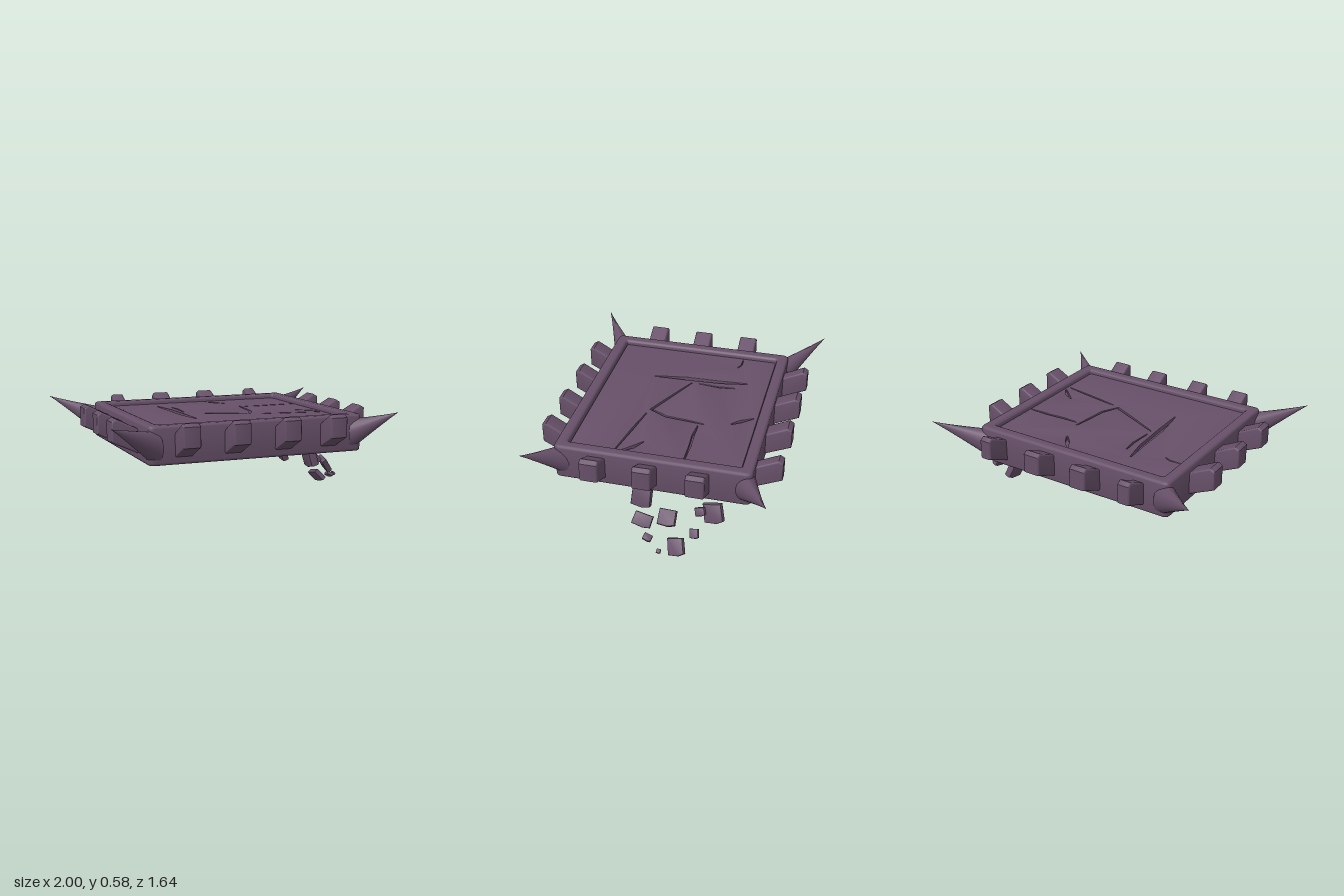
import * as THREE from 'three';
import { toCreasedNormals } from 'three/addons/utils/BufferGeometryUtils.js';

const stone = new THREE.MeshStandardMaterial({ color: 0x675069 });
stone.name = 'purple stone';

function add(parent, name, geometry) {
  const mesh = new THREE.Mesh(geometry, stone);
  mesh.name = name;
  parent.add(mesh);
  return mesh;
}

const points = (list) => list.map(([x, y]) => new THREE.Vector2(x, y));

// Rectangle outline with softened corners, drawn in (x, -z)
function rectangle(x0, x1, z0, z1, r, Type = THREE.Shape) {
  const s = new Type();
  s.moveTo(x0 + r, -z1);
  s.lineTo(x1 - r, -z1);
  s.quadraticCurveTo(x1, -z1, x1, -z1 + r);
  s.lineTo(x1, -z0 - r);
  s.quadraticCurveTo(x1, -z0, x1 - r, -z0);
  s.lineTo(x0 + r, -z0);
  s.quadraticCurveTo(x0, -z0, x0, -z0 - r);
  s.lineTo(x0, -z1 + r);
  s.quadraticCurveTo(x0, -z1, x0 + r, -z1);
  return s;
}

// Extrusion with rounded edges whose total depth includes the bevel
function bevelled(shape, depth, bevel, segments = 3) {
  const g = new THREE.ExtrudeGeometry(shape, {
    depth: depth - 2 * bevel, bevelThickness: bevel, bevelSize: bevel,
    bevelOffset: -bevel, bevelSegments: segments, curveSegments: 5,
  });
  g.translate(0, 0, bevel);
  return toCreasedNormals(g, 0.7);
}

// Horizontal slab from y0 to y1
function slab(shape, y0, y1, bevel) {
  return bevelled(shape, y1 - y0, bevel).rotateX(-Math.PI / 2).translate(0, y0, 0);
}

// Sliver-shaped hole along a line of [x, z] points, given a width at each point
function crack(line, widths) {
  const left = [], right = [];
  line.forEach(([x, z], i) => {
    const a = line[Math.max(i - 1, 0)], b = line[Math.min(i + 1, line.length - 1)];
    const dx = b[0] - a[0], dz = b[1] - a[1], len = Math.hypot(dx, dz);
    const w = widths[i] / 2;
    left.push([x - dz / len * w, -(z + dx / len * w)]);
    right.unshift([x + dz / len * w, -(z - dx / len * w)]);
  });
  return new THREE.Path(points([...left, ...right]));
}

// Pointed horn growing out of a corner
function horn(base, tip) {
  const g = new THREE.CylinderGeometry(0, 1, 1, 18, 10, true);
  const dir = new THREE.Vector3().subVectors(tip, base).setY(0).normalize();
  const side = new THREE.Vector3(-dir.z, 0, dir.x);
  const p = g.attributes.position;
  for (let i = 0; i < p.count; i++) {
    const t = p.getY(i) + 0.5, r = Math.max(1 - t, 0.001);
    const v = base.clone().lerp(tip, t)
      .addScaledVector(side, p.getX(i) / r * 0.075 * (1 - t) ** 1.2);
    v.y += p.getZ(i) / r * 0.1 * (1 - t) ** 1.1;
    p.setXYZ(i, v.x, v.y, v.z);
  }
  g.computeVertexNormals();
  return g;
}

export function createModel() {
  const model = new THREE.Group();
  model.name = 'floatingPlatform';

  // Raised border and solid bed
  const frame = rectangle(-0.725, 0.705, -0.595, 0.66, 0.04);
  frame.holes.push(rectangle(-0.65, 0.63, -0.52, 0.585, 0.015, THREE.Path));
  add(model, 'border', slab(frame, 0.32, 0.56, 0.018));
  add(model, 'bed', new THREE.BoxGeometry(1.34, 0.185, 1.16).translate(-0.01, 0.4125, 0.0325));

  // Cracked floor
  const floor = rectangle(-0.645, 0.625, -0.515, 0.58, 0.01);
  floor.holes.push(
    crack([[-0.325, -0.37], [-0.305, -0.2], [-0.295, 0.05], [-0.275, 0.27]], [0.008, 0.03, 0.035, 0.006]),
    crack([[-0.25, 0], [-0.1, 0.075], [0.13, 0.185], [0.185, 0.07], [0.2, -0.08], [0.215, -0.19]],
      [0.006, 0.012, 0.018, 0.016, 0.012, 0.006]),
    crack([[0.24, -0.155], [0.34, -0.15], [0.48, -0.157], [0.615, -0.155]], [0.005, 0.014, 0.014, 0.006]),
    crack([[0.18, 0.205], [0.38, 0.245], [0.6, 0.285]], [0.005, 0.014, 0.006]),
    crack([[0.49, 0.135], [0.56, 0.185], [0.62, 0.255]], [0.005, 0.025, 0.008]),
    crack([[0.075, -0.49], [0.13, -0.41], [0.17, -0.36]], [0.006, 0.025, 0.008]),
    crack([[-0.25, -0.3], [-0.24, -0.2], [-0.25, -0.05]], [0.005, 0.012, 0.005]),
    crack([[-0.63, -0.285], [-0.56, -0.285], [-0.515, -0.265]], [0.004, 0.007, 0.004]),
  );
  add(model, 'crackedFloor', slab(floor, 0.495, 0.53, 0.002));

  // Flared blocks: [centre along the side, width]
  const sides = [
    { name: 'frontBlock', turn: -Math.PI / 2, at: 0.645, out: 0.155,
      blocks: [[-0.505, 0.115], [-0.185, 0.115], [0.15, 0.115], [0.465, 0.115]] },
    { name: 'backBlock', turn: Math.PI / 2, at: 0.58, out: 0.18,
      blocks: [[-0.515, 0.085], [-0.185, 0.115], [0.16, 0.115], [0.525, 0.08]] },
    { name: 'leftBlock', turn: 0, at: 0.69, out: 0.16,
      blocks: [[-0.275, 0.12], [0.055, 0.12], [0.385, 0.12]] },
    { name: 'rightBlock', turn: Math.PI, at: 0.71, out: 0.18,
      blocks: [[-0.275, 0.12], [0.055, 0.12], [0.385, 0.12]] },
  ];
  for (const { name, turn, at, out, blocks } of sides) {
    const profile = points([[-0.02, 0.35], [out, 0.44], [out, 0.565], [out - 0.03, 0.583], [-0.02, 0.5]]);
    for (const [centre, width] of blocks) {
      const block = add(model, name,
        bevelled(new THREE.Shape(profile), width, 0.012).translate(at, 0, -width / 2));
      block.rotation.y = turn;
      if (turn === 0 || turn === Math.PI) block.position.z = centre;
      else block.position.x = centre;
    }
  }

  // Corner horns: base x, z then tip x, y, z
  for (const [bx, bz, tx, ty, tz] of [
    [-0.68, -0.55, -0.99, 0.585, -0.82], [0.655, -0.55, 1.0, 0.57, -0.73],
    [-0.68, 0.615, -1.0, 0.585, 0.82], [0.655, 0.615, 0.88, 0.58, 0.81],
  ]) {
    add(model, 'cornerHorn', horn(new THREE.Vector3(bx, 0.425, bz), new THREE.Vector3(tx, ty, tz)));
  }

  // Falling chips: position, length, thickness, width, tilt, twist
  const chipOutline = [[-0.5, -0.42], [0.38, -0.5], [0.5, 0.1], [0.42, 0.46], [-0.4, 0.5]];
  for (const [x, y, z, length, thick, width, tilt, twist] of [
    [0.615, 0.195, 0.12, 0.15, 0.06, 0.135, -1.3, 0],
    [0.625, 0.155, -0.35, 0.14, 0.05, 0.13, -1.2, 0.3],
    [0.65, 0.17, -0.27, 0.06, 0.03, 0.07, -1.1, 0.4],
    [0.745, 0.16, -0.08, 0.115, 0.04, 0.12, -0.75, 0.1],
    [0.685, 0.055, 0.1, 0.095, 0.035, 0.13, -0.85, -0.15],
    [0.895, 0.07, -0.175, 0.12, 0.04, 0.11, -0.95, 0.35],
    [0.855, 0.165, -0.28, 0.065, 0.025, 0.06, -0.85, 0.3],
    [0.82, 0.037, 0.03, 0.05, 0.025, 0.06, -0.5, -0.3],
    [0.905, 0.018, -0.065, 0.03, 0.022, 0.028, -0.6, 0],
  ]) {
    const outline = new THREE.Shape(points(chipOutline.map(([a, b]) => [a * length, b * width])));
    const chip = add(model, 'fallingChip',
      bevelled(outline, thick, thick * 0.2, 2).rotateX(-Math.PI / 2).translate(0, -thick / 2, 0));
    chip.position.set(x, y, z);
    chip.rotation.set(twist, 0, tilt, 'XZY');
  }

  return model;
}
